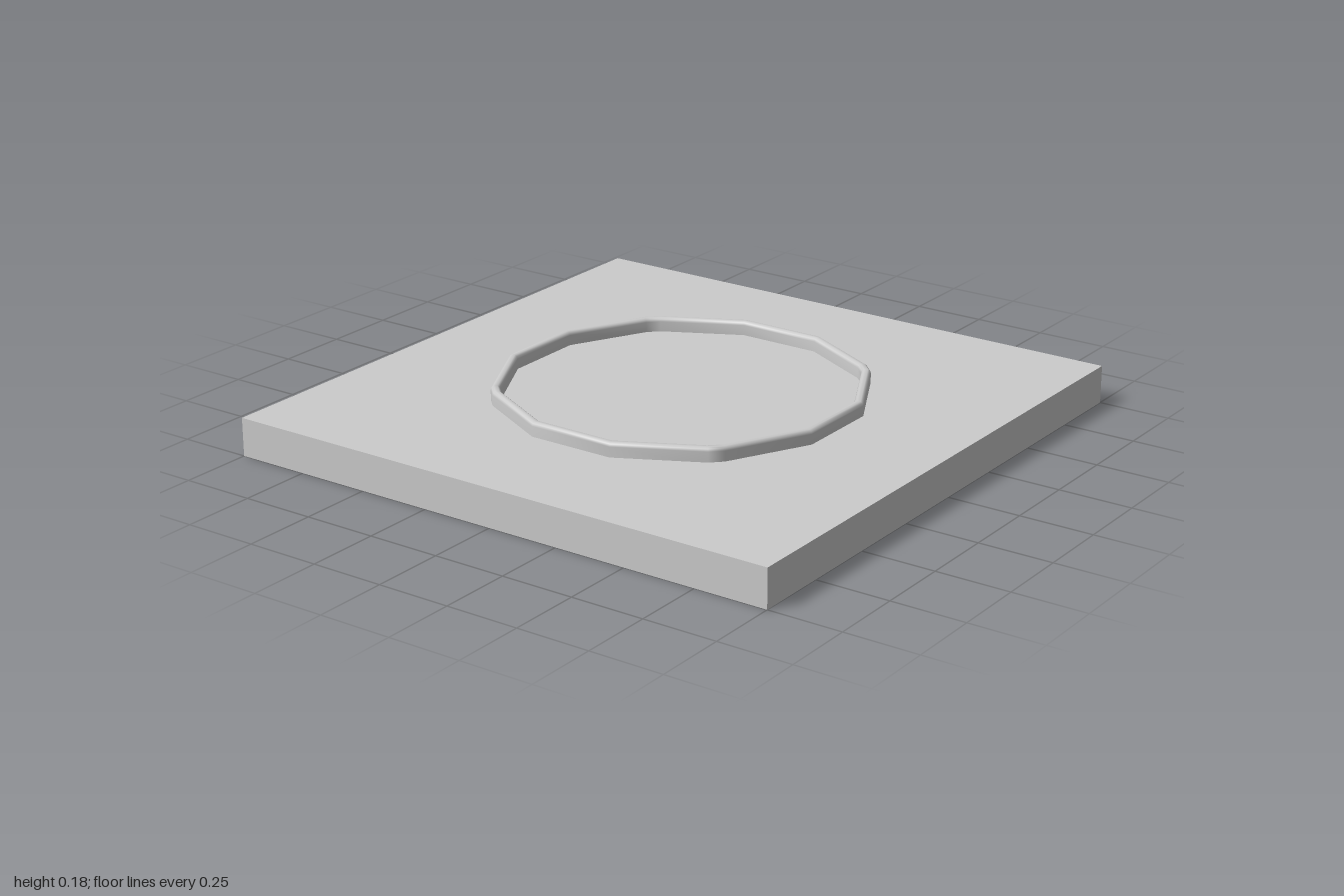
import * as THREE from 'three';

const BASE_HEIGHT = 0.13;

// Closed ring: one quarter of the outline is repeated four times and swept with a round-topped section
function ringGeometry() {
  const quarter = [[-0.15, 0.597], [0.15, 0.597], [0.42, 0.457], [0.457, 0.42]];
  const outline = [];
  for (let q = 0; q < 4; q++) {
    const c = Math.round(Math.cos(q * Math.PI / 2)), s = Math.round(Math.sin(q * Math.PI / 2));
    // the first corner of each quarter is the last corner of the one before, turned
    for (const [x, z] of quarter) outline.push([x * c + z * s, z * c - x * s]);
  }

  // section: [scale of the outline, height], up the outer wall and down the inner one
  const section = [[1, BASE_HEIGHT - 0.01], [1, 0.165], [0.995, 0.173], [0.984, 0.178],
    [0.964, 0.178], [0.953, 0.173], [0.948, 0.165], [0.948, BASE_HEIGHT - 0.01]];

  const positions = [], index = [];
  const m = section.length, n = outline.length;
  outline.forEach(([x, z], i) => section.forEach(([s, y], j) => {
    positions.push(x * s, y, z * s);
    if (j === m - 1) return;
    const a = i * m + j, b = ((i + 1) % n) * m + j;
    index.push(a, b, a + 1, b, b + 1, a + 1);
  }));
  const geometry = new THREE.BufferGeometry();
  geometry.setAttribute('position', new THREE.Float32BufferAttribute(positions, 3));
  geometry.setIndex(index);
  geometry.computeVertexNormals();
  return geometry;
}

export function createModel() {
  const group = new THREE.Group();
  const material = new THREE.MeshStandardMaterial({ color: 0xcccccc });

  // Square slab
  const base = new THREE.Mesh(new THREE.BoxGeometry(2, BASE_HEIGHT, 2), material);
  base.name = 'base';
  base.position.y = BASE_HEIGHT / 2;

  // Raised twelve-sided rim
  const rim = new THREE.Mesh(ringGeometry(), material);
  rim.name = 'raisedRim';

  group.add(base, rim);
  return group;
}
